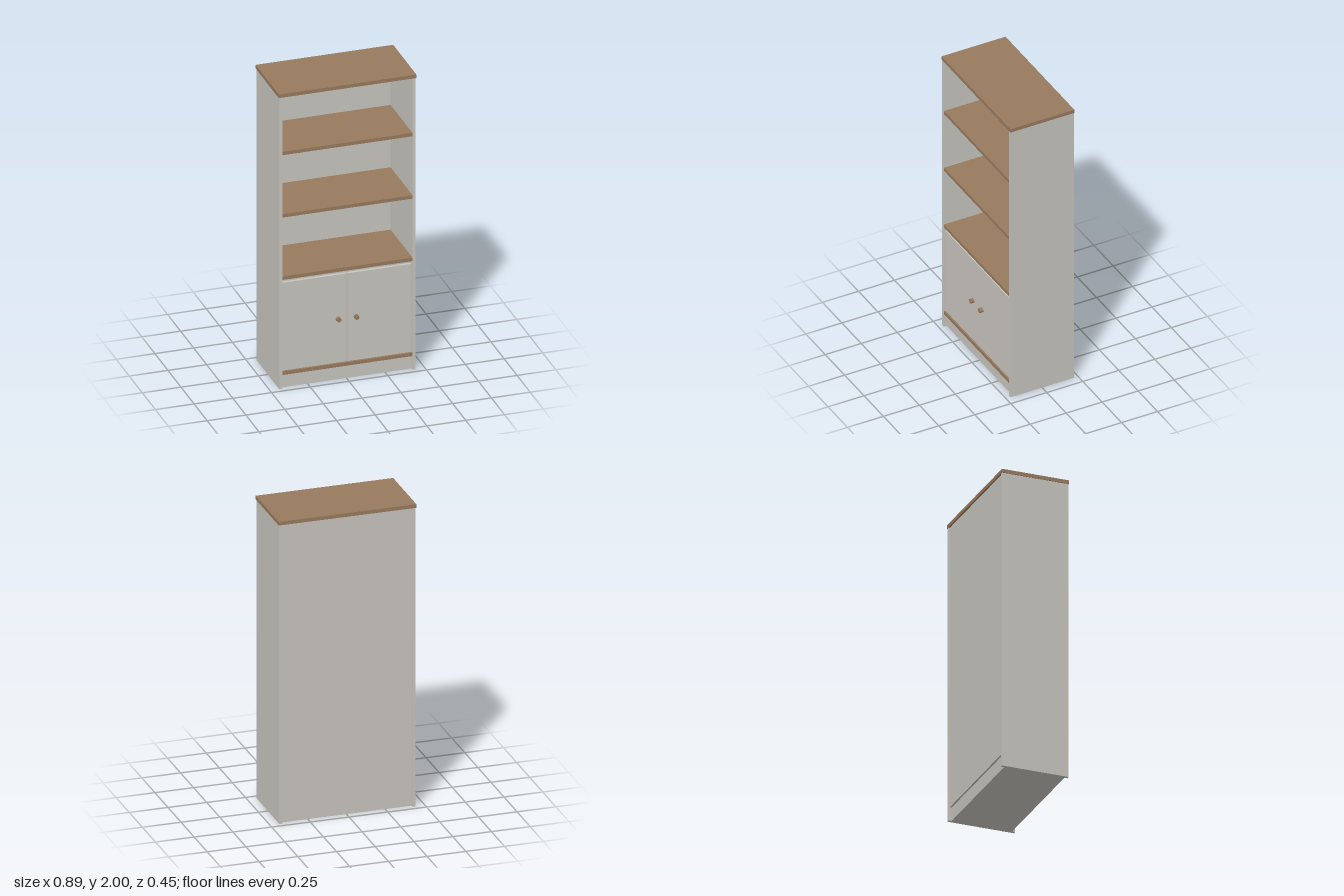
import * as THREE from 'three';

export function createModel() {
  const root = new THREE.Group();
  root.name = 'bookcase';

  const paint = new THREE.MeshStandardMaterial({ color: 0xc8c5be });
  paint.name = 'grey paint';
  const wood = new THREE.MeshStandardMaterial({ color: 0x987a5e });
  wood.name = 'brown wood';

  // Box given by its lower and upper corners
  function panel(name, material, [x0, y0, z0], [x1, y1, z1]) {
    const mesh = new THREE.Mesh(new THREE.BoxGeometry(x1 - x0, y1 - y0, z1 - z0), material);
    mesh.position.set((x0 + x1) / 2, (y0 + y1) / 2, (z0 + z1) / 2);
    mesh.name = name;
    root.add(mesh);
  }

  // Carcass
  panel('topBoard', wood, [-0.444, 1.976, -0.222], [0.444, 2, 0.222]);
  panel('backPanel', paint, [-0.42, 0.09, -0.212], [0.42, 1.976, -0.2]);
  panel('plinth', paint, [-0.42, 0, -0.2], [0.42, 0.092, 0.2]);

  // Cabinet floor and open shelves, by underside height
  for (const y of [0.092, 0.737, 1.16, 1.583]) {
    panel(y < 0.1 ? 'cabinetFloor' : 'shelf', wood, [-0.42, y, -0.2], [0.42, y + 0.023, 0.218]);
  }

  // Mirrored sides, doors and knobs
  for (const [side, s] of [['left', 1], ['right', -1]]) {
    const span = (a, b) => (s > 0 ? [a, b] : [-b, -a]);
    const [sx0, sx1] = span(0.42, 0.44);
    panel(side + 'SidePanel', paint, [sx0, 0, -0.22], [sx1, 1.976, 0.22]);

    const [dx0, dx1] = span(0.003, 0.416);
    panel(side + 'Door', paint, [dx0, 0.118, 0.19], [dx1, 0.714, 0.21]);

    const knob = new THREE.Mesh(new THREE.CylinderGeometry(0.015, 0.015, 0.022, 16), wood);
    knob.rotation.x = Math.PI / 2;
    knob.position.set(s * 0.058, 0.415, 0.221);
    knob.name = side + 'Knob';
    root.add(knob);
  }

  return root;
}
